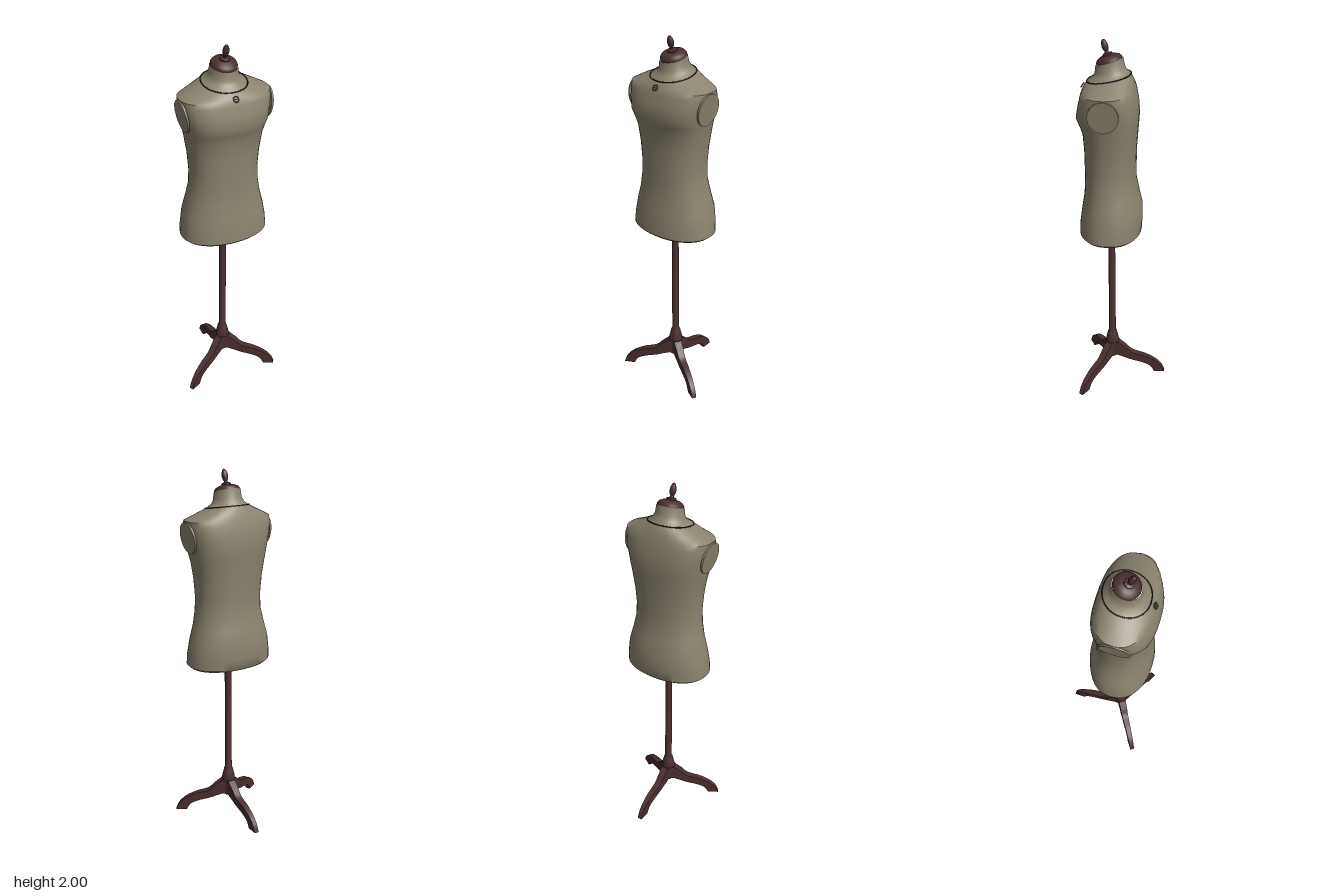
import * as THREE from 'three';
import { toCreasedNormals } from 'three/addons/utils/BufferGeometryUtils.js';

const SEG = 40;
const AXIS_Z = 0.07; // the stand sits slightly forward of centre

// Torso cross-sections: [y, half width, front z, back z, forward tilt, squareness]
const ROWS = [
  [0.953, 0.001, 0.075, 0.073, 0, 2],
  [0.953, 0.228, 0.228, -0.085, 0, 2.2],
  [0.965, 0.241, 0.24, -0.097, 0, 2.2],
  [1.02, 0.238, 0.237, -0.1, 0, 2.2],
  [1.1, 0.225, 0.226, -0.1, 0, 2.2],
  [1.18, 0.204, 0.212, -0.082, 0, 2.2],
  [1.26, 0.188, 0.208, -0.066, 0, 2.2],
  [1.34, 0.184, 0.208, -0.065, 0, 2.2],
  [1.44, 0.191, 0.208, -0.067, 0, 2.3],
  [1.53, 0.204, 0.213, -0.073, 0, 2.4],
  [1.58, 0.213, 0.228, -0.077, 0, 2.5],
  [1.62, 0.22, 0.244, -0.079, 0, 2.6],
  [1.68, 0.231, 0.232, -0.074, 0, 2.7],
  [1.73, 0.238, 0.22, -0.065, 0, 2.6],
  [1.756, 0.24, 0.213, -0.058, 0.03, 2.4],
  [1.778, 0.195, 0.206, -0.05, 0.1, 2.1],
  [1.812, 0.113, 0.188, -0.034, 0.18, 2.1],
  [1.832, 0.086, 0.157, -0.014, 0.2, 2],
  [1.852, 0.074, 0.149, -0.004, 0.24, 2],
  [1.894, 0.069, 0.144, 0.006, 0.3, 2],
];
const NECKLINE = ROWS[16];

// Point on a tilted superellipse cross-section
function ringPoint([y, w, zf, zb, tilt, p], a, grow = 0) {
  const bend = v => Math.sign(v) * Math.abs(v) ** (2 / p);
  const dz = ((zf - zb) / 2 + grow) * bend(Math.sin(a));
  return new THREE.Vector3((w + grow) * bend(Math.cos(a)), y - tilt * dz, (zf + zb) / 2 + dz);
}

function torsoGeometry() {
  const pos = [], index = [];
  ROWS.forEach((row, i) => {
    for (let j = 0; j < SEG; j++) {
      pos.push(...ringPoint(row, (j / SEG) * Math.PI * 2).toArray());
      if (i === ROWS.length - 1) continue;
      const a = i * SEG + j, b = i * SEG + ((j + 1) % SEG);
      index.push(a, a + SEG, b, b, a + SEG, b + SEG);
    }
  });
  const g = new THREE.BufferGeometry();
  g.setAttribute('position', new THREE.Float32BufferAttribute(pos, 3));
  g.setIndex(index);
  return toCreasedNormals(g, 0.75);
}

function lathe(points, segments = 28) {
  const g = new THREE.LatheGeometry(points.map(p => new THREE.Vector2(...p)), segments);
  return toCreasedNormals(g, 0.6);
}

// Curved leg: side outline extruded, then narrowed towards the foot
function legGeometry() {
  const s = new THREE.Shape();
  s.moveTo(0.015, 0.2);
  s.lineTo(0.037, 0.2);
  s.splineThru([[0.08, 0.165], [0.12, 0.13], [0.195, 0.108], [0.255, 0.078], [0.295, 0.04], [0.314, 0]]
    .map(p => new THREE.Vector2(...p)));
  s.lineTo(0.252, 0);
  s.splineThru([[0.228, 0.038], [0.185, 0.06], [0.115, 0.08], [0.07, 0.097], [0.035, 0.11]]
    .map(p => new THREE.Vector2(...p)));
  s.lineTo(0.015, 0.11);
  const g = new THREE.ExtrudeGeometry(s, { depth: 1, bevelEnabled: false, curveSegments: 14 });
  const p = g.attributes.position;
  for (let i = 0; i < p.count; i++) {
    p.setZ(i, (p.getZ(i) - 0.5) * (0.047 - 0.07 * p.getX(i)));
  }
  return toCreasedNormals(g, 0.6);
}

export function createModel() {
  const model = new THREE.Group();
  const material = (name, color) => {
    const m = new THREE.MeshStandardMaterial({ color });
    m.name = name;
    return m;
  };
  const fabric = material('khaki fabric', 0x8b836e);
  const wood = material('dark wood', 0x4a2e2e);
  const cord = material('black cord', 0x1c1414);
  const metal = material('dull metal', 0x5e594a);

  const add = (name, geometry, mat, parent = model) => {
    const mesh = new THREE.Mesh(geometry, mat);
    mesh.name = name;
    parent.add(mesh);
    return mesh;
  };

  add('torso', torsoGeometry(), fabric);

  // Flat oval plates closing the armholes
  for (const side of [1, -1]) {
    const disc = new THREE.CylinderGeometry(1, 1, 0.01, 32);
    disc.rotateZ(-Math.PI / 2);
    disc.scale(1, 0.084, 0.078);
    const plate = add(side > 0 ? 'leftArmPlate' : 'rightArmPlate', disc, fabric);
    plate.position.set(side * 0.228, 1.668, 0.084);
    plate.rotation.z = -side * 0.15;
  }

  // Domed neck cap with finial, leaning forward with the neck
  const cap = add('neckCapAndFinial', lathe([
    [0, -0.006], [0.068, -0.006], [0.068, 0.004], [0.06, 0.016], [0.042, 0.025],
    [0.025, 0.029], [0.025, 0.036], [0.011, 0.041], [0.009, 0.048], [0.015, 0.06],
    [0.017, 0.075], [0.014, 0.093], [0.008, 0.106], [0, 0.1105],
  ]), wood);
  cap.position.set(0, 1.894, 0.075);
  cap.rotation.x = 0.29;

  // Cord around the neckline with a small ring pendant
  const loop = Array.from({ length: 32 }, (_, i) => ringPoint(NECKLINE, (i / 32) * Math.PI * 2, 0.002));
  add('neckCord', new THREE.TubeGeometry(new THREE.CatmullRomCurve3(loop, true), 80, 0.0028, 6, true), cord);
  const pendant = new THREE.Group();
  pendant.name = 'pendant';
  pendant.position.set(0, 1.765, 0.213);
  pendant.rotation.x = -0.6;
  model.add(pendant);
  add('pendantRing', new THREE.TorusGeometry(0.014, 0.003, 8, 24), metal, pendant);
  add('pendantBar', new THREE.BoxGeometry(0.024, 0.004, 0.004), metal, pendant);

  // Pole with flared collar and hub
  const pole = add('pole', lathe([
    [0, 0.105], [0.029, 0.105], [0.029, 0.2], [0.038, 0.203], [0.037, 0.222],
    [0.026, 0.27], [0.02, 0.285], [0.019, 0.96],
  ]), wood);
  pole.position.z = AXIS_Z;

  // Three legs, one pointing straight back
  const leg = legGeometry();
  ['backLeg', 'rightFrontLeg', 'leftFrontLeg'].forEach((name, i) => {
    const mesh = add(name, leg, wood);
    mesh.position.z = AXIS_Z;
    mesh.rotation.y = Math.PI / 2 + (i * Math.PI * 2) / 3;
  });

  return model;
}
